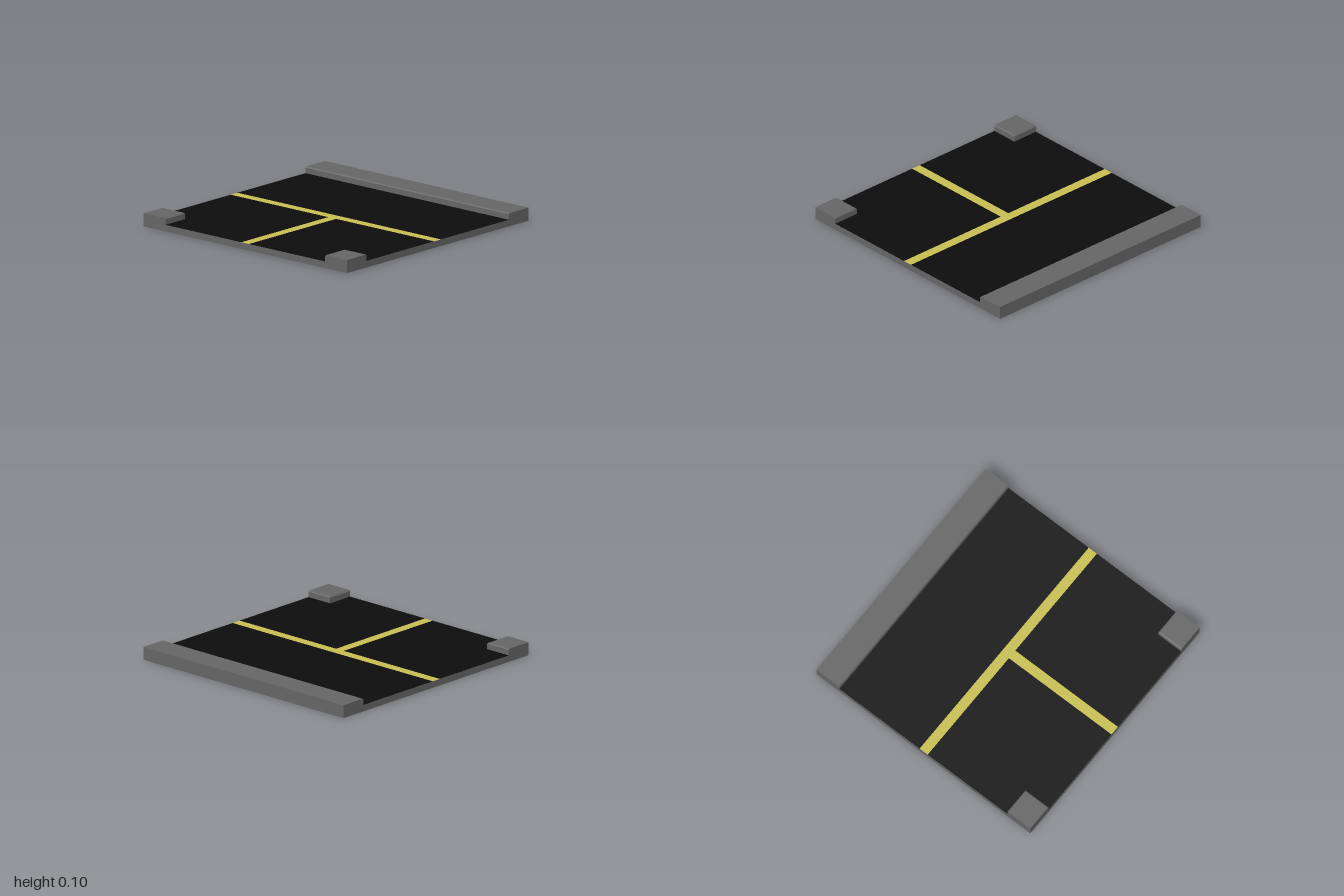
import * as THREE from 'three';

const ROAD_Y = 0.05, CURB_Y = 0.1, CURB_W = 0.215, BEVEL = 0.008;
const BASE_Y = ROAD_Y - 0.001;

const concrete = new THREE.MeshStandardMaterial({ color: 0x666666, flatShading: true });
const asphalt = new THREE.MeshStandardMaterial({ color: 0x0d0d0d });
const paint = new THREE.MeshStandardMaterial({ color: 0xc8be52 });

// Flat patch of road surface between two corners
function patch(name, x0, x1, z0, z1, material) {
  const geometry = new THREE.PlaneGeometry(x1 - x0, z1 - z0).rotateX(-Math.PI / 2);
  const mesh = new THREE.Mesh(geometry, material);
  mesh.name = name;
  mesh.position.set((x0 + x1) / 2, ROAD_Y, (z0 + z1) / 2);
  return mesh;
}

// Raised pavement block; only edges inside the tile get a bevelled top
function pavement(name, x0, x1, z0, z1) {
  const h = CURB_Y - BASE_Y;
  const geometry = new THREE.BoxGeometry(x1 - x0, h, z1 - z0, 1, 2, 1);
  geometry.translate((x0 + x1) / 2, BASE_Y + h / 2, (z0 + z1) / 2);
  const p = geometry.attributes.position;
  const inset = (v, min, max) => {
    if (Math.abs(v) > 0.999) return v;
    return v + (v < (min + max) / 2 ? BEVEL : -BEVEL);
  };
  for (let i = 0; i < p.count; i++) {
    const y = p.getY(i);
    if (y > CURB_Y - 1e-4) {
      p.setX(i, inset(p.getX(i), x0, x1));
      p.setZ(i, inset(p.getZ(i), z0, z1));
    } else if (y > BASE_Y + 1e-4) {
      p.setY(i, CURB_Y - BEVEL);
    }
  }
  const flat = geometry.toNonIndexed();
  flat.computeVertexNormals();
  const mesh = new THREE.Mesh(flat, concrete);
  mesh.name = name;
  return mesh;
}

export function createModel() {
  const group = new THREE.Group();
  group.name = 'roadJunctionTile';

  // Foundation slab
  const base = new THREE.Mesh(new THREE.BoxGeometry(2, BASE_Y, 2), concrete);
  base.name = 'baseSlab';
  base.position.y = BASE_Y / 2;
  group.add(base);

  // Asphalt panels around the T-shaped lane marking
  const a = -0.04, b = 0.036, curbX = 1 - CURB_W;
  group.add(
    patch('mainLane', b, curbX, -1, 1, asphalt),
    patch('backRoad', -1, a, -1, a, asphalt),
    patch('frontRoad', -1, a, b, 1, asphalt),
    patch('mainLine', a, b, -1, 1, paint),
    patch('sideLine', -1, a, a, b, paint)
  );

  // Pavement along the closed side and at the two corners
  group.add(
    pavement('longPavement', curbX, 1, -1, 1),
    pavement('backCornerPavement', -1, -curbX, -1, -curbX),
    pavement('frontCornerPavement', -1, -curbX, curbX, 1)
  );
  return group;
}
